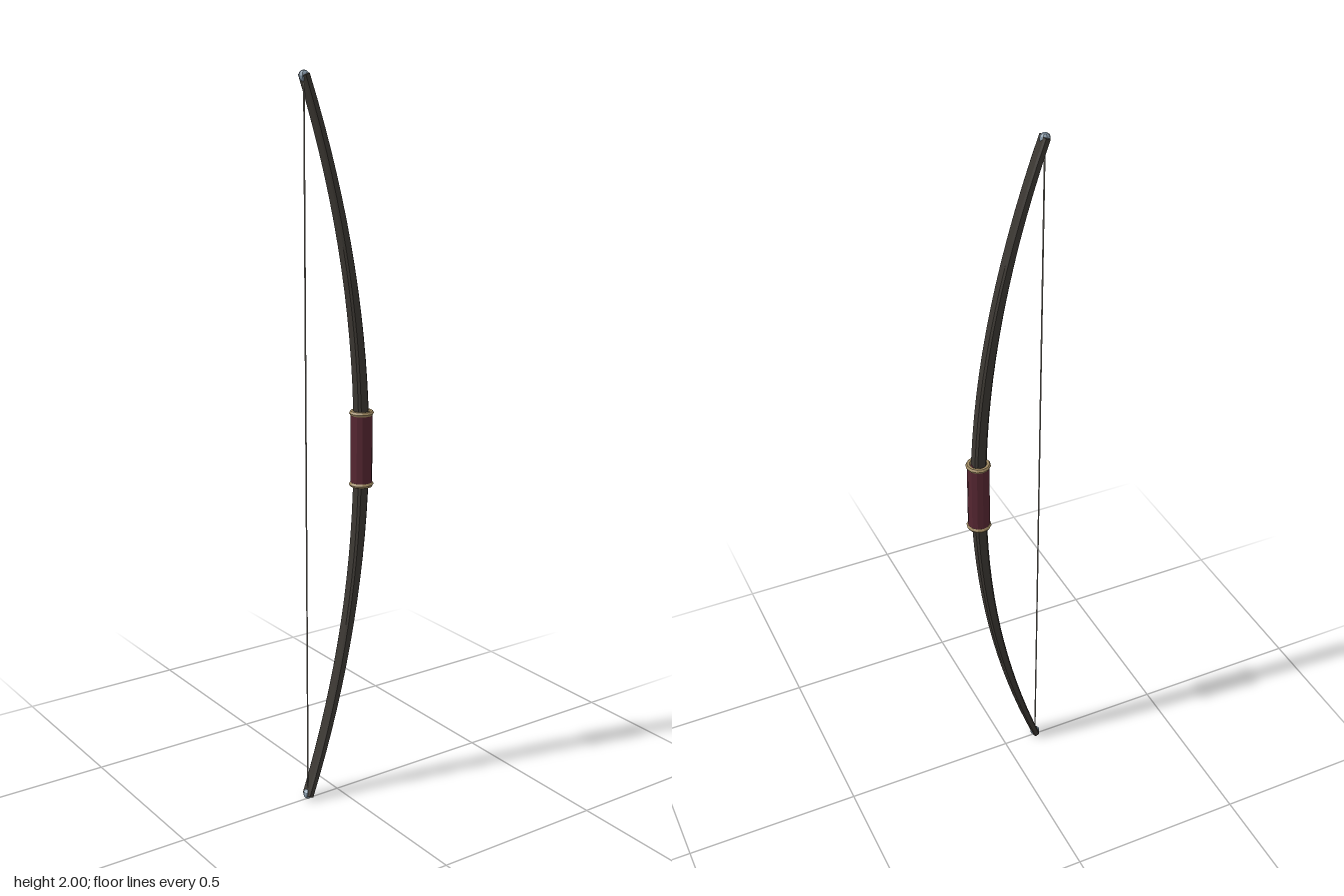
import * as THREE from 'three';

const MID_Y = 1, REACH = 0.99, BELLY_X = 0.08, TIP_X = -0.1;

const paint = (color, flatShading = true) => new THREE.MeshStandardMaterial({ color, flatShading });

function add(parent, name, geometry, material, x, y) {
  const mesh = new THREE.Mesh(geometry, material);
  mesh.name = name;
  mesh.position.set(x, y, 0);
  parent.add(mesh);
  return mesh;
}

// Chamfered square bar, bent along a parabola and thinned toward both tips
function limbGeometry() {
  const h = 0.018, c = 0.012;
  const section = new THREE.Shape([
    [h, -c], [h, c], [c, h], [-c, h], [-h, c], [-h, -c], [-c, -h], [c, -h],
  ].map(([x, y]) => new THREE.Vector2(x, y)));
  const geo = new THREE.ExtrudeGeometry(section, { depth: 2, steps: 32, bevelEnabled: false });
  geo.rotateX(-Math.PI / 2);
  const pos = geo.attributes.position;
  for (let i = 0; i < pos.count; i++) {
    const t = pos.getY(i) - 1;
    const drop = BELLY_X - TIP_X;
    const slope = -2 * drop * t / REACH;
    const len = Math.hypot(1, slope);
    const across = pos.getX(i) * (1 - 0.5 * Math.abs(t));
    pos.setX(i, BELLY_X - drop * t * t + across / len);
    pos.setY(i, MID_Y + REACH * t - across * slope / len);
  }
  geo.computeVertexNormals();
  return geo;
}

export function createModel() {
  const bow = new THREE.Group();
  bow.name = 'bow';
  const wood = paint(0x3b3732);
  const leather = paint(0x552631);
  const brass = paint(0xa08a62);
  const steel = paint(0x8496a6);
  const cord = paint(0x8f8a80);

  add(bow, 'limbs', limbGeometry(), wood, 0, 0);
  add(bow, 'grip', new THREE.CylinderGeometry(0.03, 0.03, 0.2, 12), leather, BELLY_X, MID_Y);
  add(bow, 'string', new THREE.CylinderGeometry(0.002, 0.002, 1.97, 6), cord, TIP_X, MID_Y);

  // Grip collars and tip nocks, mirrored top and bottom
  for (const [side, s] of [['upper', 1], ['lower', -1]]) {
    const collar = new THREE.TorusGeometry(0.027, 0.007, 6, 12).rotateX(Math.PI / 2);
    add(bow, side + 'Collar', collar, brass, BELLY_X, MID_Y + s * 0.1);
    const nock = add(bow, side + 'Nock', new THREE.SphereGeometry(0.0145, 8, 6), steel, TIP_X, MID_Y + s * 0.9855);
    nock.scale.z = 0.9;
  }
  return bow;
}
